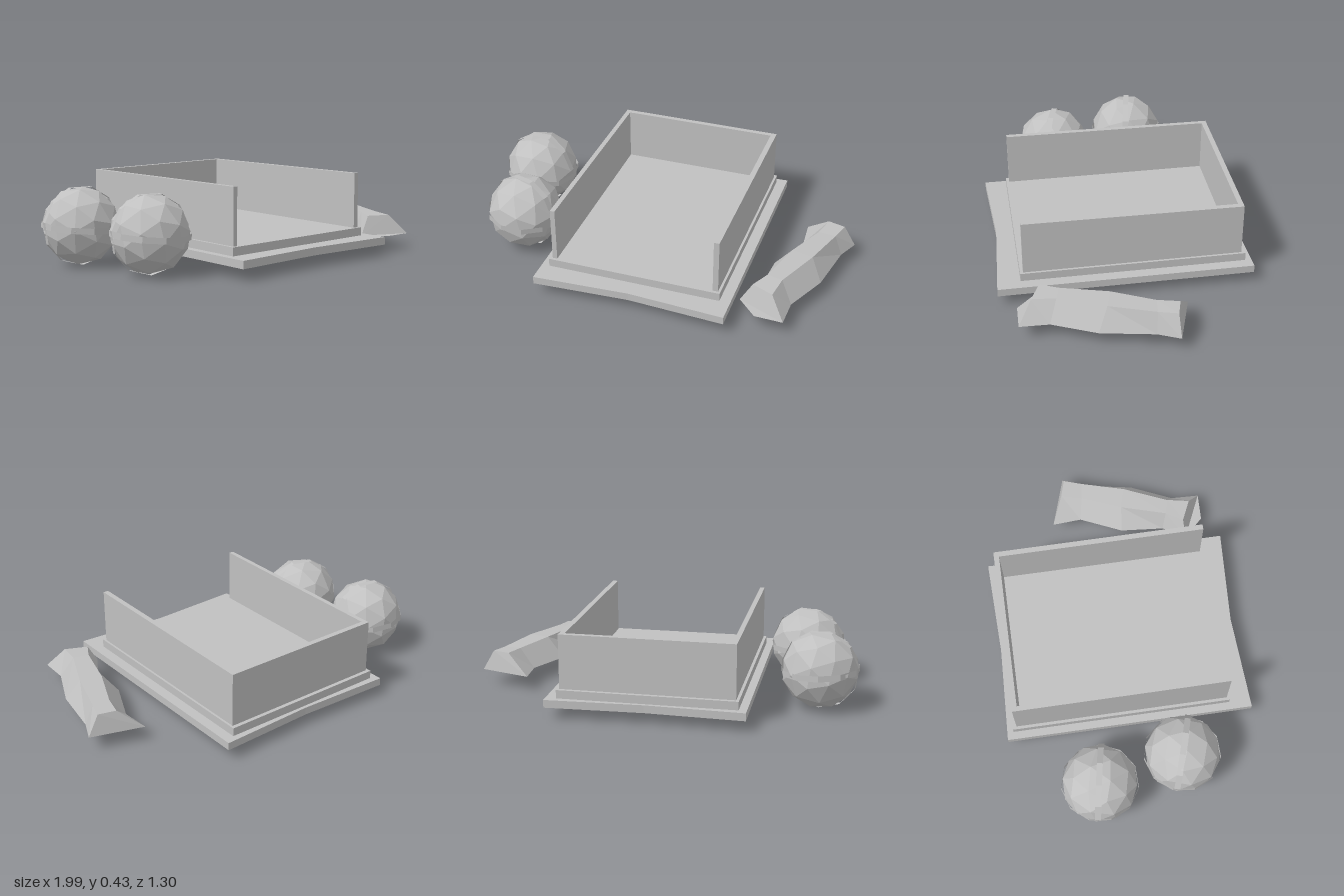
import * as THREE from 'three';

export function createModel() {
  const model = new THREE.Group();
  const grey = new THREE.MeshStandardMaterial({ color: 0xc0c0c0, flatShading: true });
  grey.name = 'stone grey';
  const ribbonGrey = grey.clone();
  ribbonGrey.name = 'stone grey band';
  ribbonGrey.side = THREE.DoubleSide;

  const add = (name, geometry, material = grey, parent = model) => {
    const mesh = new THREE.Mesh(geometry, material);
    mesh.name = name;
    parent.add(mesh);
    return mesh;
  };
  // Box given by its limits on each axis
  const box = (name, x0, x1, y0, y1, z0, z1) => {
    const g = new THREE.BoxGeometry(x1 - x0, y1 - y0, z1 - z0);
    g.translate((x0 + x1) / 2, (y0 + y1) / 2, (z0 + z1) / 2);
    return add(name, g);
  };

  // Base slab with slightly pinched front and back edges
  const outline = [[-0.49, -0.645], [0.01, -0.62], [0.51, -0.65], [0.51, 0.655], [0.01, 0.637], [-0.49, 0.655]];
  const slab = new THREE.ExtrudeGeometry(
    new THREE.Shape(outline.map(([x, y]) => new THREE.Vector2(x, y))),
    { depth: 0.04, bevelEnabled: false });
  slab.rotateX(-Math.PI / 2).translate(0, 0.06, 0);
  add('baseSlab', slab);

  // Raised floor
  box('floor', -0.45, 0.455, 0.1, 0.143, -0.62, 0.53);

  // Three walls, open at the front, tops falling slightly to the back
  const walls = [
    box('rightWall', -0.435, -0.41, 0.143, 0.43, -0.6, 0.515),
    box('leftWall', 0.415, 0.443, 0.143, 0.43, -0.6, 0.515),
    box('backWall', -0.41, 0.415, 0.143, 0.43, -0.6, -0.573),
  ];
  for (const wall of walls) {
    const p = wall.geometry.attributes.position;
    for (let i = 0; i < p.count; i++) {
      if (p.getY(i) > 0.3) p.setY(i, 0.43 - 0.008 * (0.515 - p.getZ(i)) / 1.115);
    }
  }

  // Faceted boulders wrapped by two thin loose bands
  const boulder = (name, x, z, turn, tilt) => {
    const group = new THREE.Group();
    group.name = name;
    group.position.set(x, 0.2, z);
    const rock = add('rock', new THREE.IcosahedronGeometry(0.196, 1), grey, group);
    rock.rotation.set(tilt, turn, 0.2);
    const band = () => new THREE.CylinderGeometry(0.199, 0.199, 0.03, 11, 1, true);
    const upright = add('uprightBand', band(), ribbonGrey, group);
    upright.rotation.set(Math.PI / 2, turn, 0, 'YXZ');
    const level = add('levelBand', band(), ribbonGrey, group);
    level.rotation.set(0.06, 0.3, -0.06);
    model.add(group);
  };
  boulder('backBoulder', -0.805, -0.21, -0.18, 0.3);
  boulder('frontBoulder', -0.712, 0.23, -0.3, 0.1);

  // Bent fallen block: sections [bottom right, top right, top left, bottom left, bottom middle] as x, z
  const sections = [
    [[0.54, 0.46], [0.6, 0.45], [0.71, 0.5], [0.785, 0.57], [0.64, 0.565]],
    [[0.61, 0.34], [0.65, 0.36], [0.73, 0.38], [0.79, 0.42], [0.7, 0.38]],
    [[0.63, 0.11], [0.72, 0.12], [0.83, 0.15], [0.89, 0.2], [0.76, 0.155]],
    [[0.73, -0.11], [0.81, -0.09], [0.9, -0.08], [0.94, -0.07], [0.835, -0.09]],
    [[0.72, -0.265], [0.84, -0.2], [0.93, -0.175], [0.99, -0.18], [0.855, -0.222]],
  ];
  const tops = [0.18, 0.187, 0.19, 0.182, 0.185];
  const points = [], index = [];
  sections.forEach((section, s) => section.forEach(([x, z], i) => {
    points.push(x, i === 1 || i === 2 ? tops[s] : 0.08, z);
    if (s === sections.length - 1) return;
    const a = s * 5 + i, b = s * 5 + (i + 1) % 5;
    index.push(a, b, b + 5, a, b + 5, a + 5);
  }));
  const last = (sections.length - 1) * 5;
  for (let i = 1; i < 4; i++) index.push(0, i + 1, i, last, last + i, last + i + 1);
  const block = new THREE.BufferGeometry();
  block.setAttribute('position', new THREE.Float32BufferAttribute(points, 3));
  block.setIndex(index);
  const faceted = block.toNonIndexed();
  faceted.computeVertexNormals();
  add('fallenBlock', faceted);

  return model;
}
